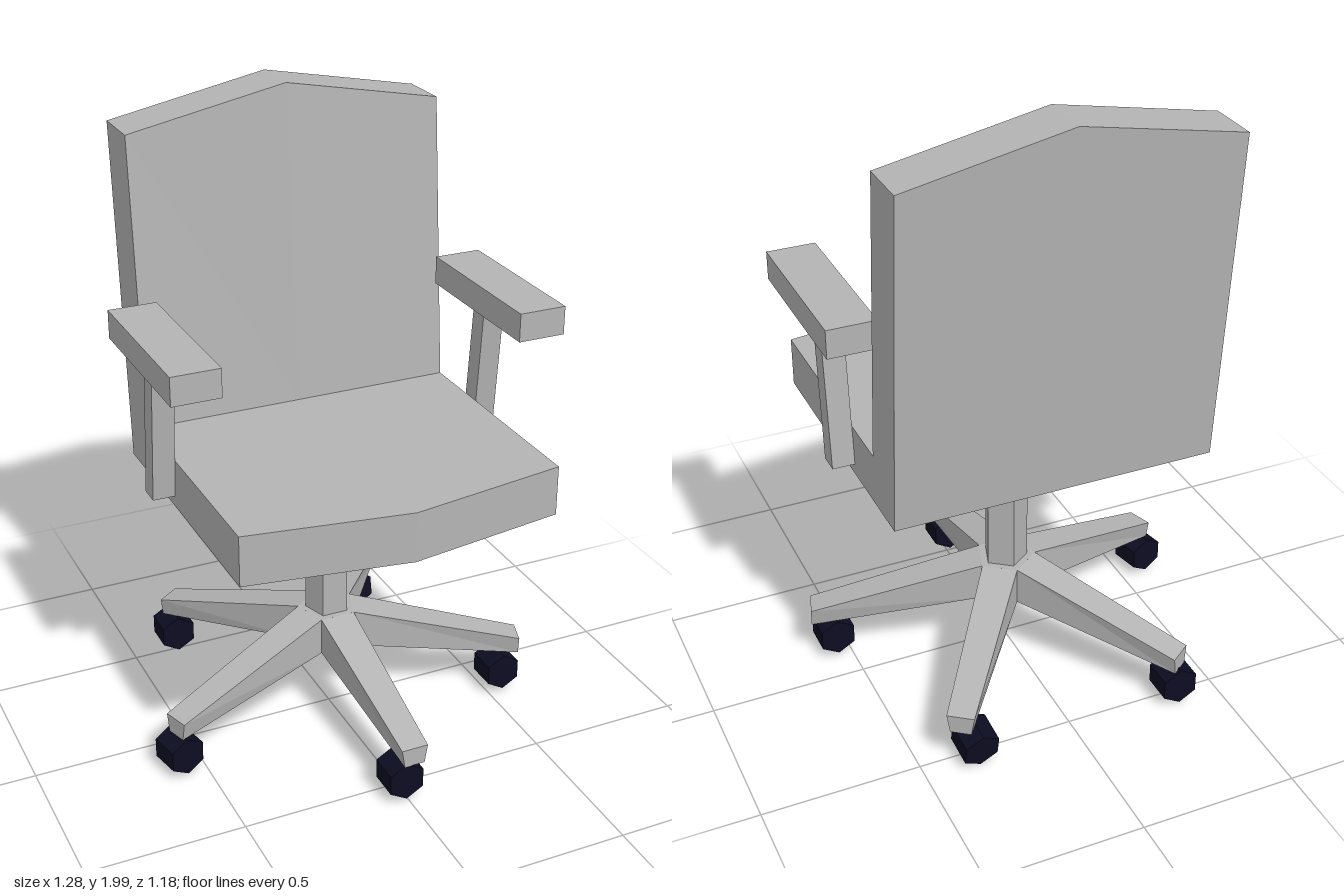
import * as THREE from 'three';

const shellGrey = new THREE.MeshStandardMaterial({ color: 0xb4b4b4 });
shellGrey.name = 'shellGrey';
const casterNavy = new THREE.MeshStandardMaterial({ color: 0x0d0d22 });
casterNavy.name = 'casterNavy';

const CX = 0.015; // middle of the chair in x
const QUAD = [[0, 1, 2], [0, 2, 3]];

// Flat-shaded solid through rings of [x, y, z] points, closed at both ends
function loft(rings, cap = QUAD) {
  const n = rings[0].length;
  const index = [];
  for (let r = 0; r < rings.length - 1; r++) {
    for (let i = 0; i < n; i++) {
      const a = r * n + i, b = r * n + (i + 1) % n;
      index.push(a, b, b + n, a, b + n, a + n);
    }
  }
  const last = (rings.length - 1) * n;
  for (const [a, b, c] of cap) index.push(a, c, b, last + a, last + b, last + c);
  const geo = new THREE.BufferGeometry();
  geo.setAttribute('position', new THREE.Float32BufferAttribute(rings.flat(2), 3));
  geo.setIndex(index);
  const flat = geo.toNonIndexed();
  flat.computeVertexNormals();
  return flat;
}

function add(parent, name, geo, material = shellGrey) {
  const mesh = new THREE.Mesh(geo, material);
  mesh.name = name;
  parent.add(mesh);
  return mesh;
}

// Flat-sided prism along y
function prism(radius, y0, y1, sides) {
  const geo = new THREE.CylinderGeometry(radius, radius, y1 - y0, sides).toNonIndexed();
  geo.translate(0, (y0 + y1) / 2, 0);
  geo.computeVertexNormals();
  return geo;
}

// L-shaped section of seat and backrest at one x
const seatSection = (x, top, front) => [
  [x, top, -0.51], [x, top, -0.34], [x, 0.99, -0.262],
  [x, 0.99, front], [x, 0.83, front], [x, 0.83, -0.42],
];

export function createModel() {
  const chair = new THREE.Group();
  chair.name = 'officeChair';

  // Seat and backrest, peaked in the middle
  add(chair, 'seatAndBackrest', loft([
    seatSection(CX - 0.51, 1.9, 0.49),
    seatSection(CX, 2.0, 0.57),
    seatSection(CX + 0.51, 1.9, 0.49),
  ], [[0, 1, 2], [0, 2, 5], [2, 3, 4], [2, 4, 5]]));

  // Armrests with slanted posts
  for (const side of [-1, 1]) {
    const arm = new THREE.Group();
    arm.name = side > 0 ? 'leftArmrest' : 'rightArmrest';
    chair.add(arm);
    const pad = add(arm, 'armPad', new THREE.BoxGeometry(0.152, 0.09, 0.535));
    pad.position.set(CX + side * 0.547, 1.365, 0.0275);
    const x0 = CX + side * 0.545 - 0.035, x1 = x0 + 0.07;
    const ring = (y, front, back) =>
      [[x0, y, front], [x1, y, front], [x1, y, back], [x0, y, back]];
    add(arm, 'armPost', loft([ring(0.865, -0.03, -0.097), ring(1.325, 0.013, -0.052)]));
  }

  // Five-legged base with its column
  const base = new THREE.Group();
  base.name = 'base';
  base.position.set(0.0135, 0, -0.038);
  chair.add(base);
  add(base, 'column', prism(0.072, 0.3, 0.835, 5)).rotation.y = Math.PI;
  add(base, 'hub', prism(0.097, 0.225, 0.35, 5)).rotation.y = Math.PI;
  const legRing = (z, lowHalf, highHalf, low, high) =>
    [[-lowHalf, low, z], [lowHalf, low, z], [highHalf, high, z], [-highHalf, high, z]];
  const legGeo = loft([
    legRing(0.0785, 0.057, 0.057, 0.225, 0.35),
    legRing(0.633, 0.033, 0.043, 0.14, 0.2),
  ]);
  for (let i = 0; i < 5; i++) add(base, 'leg', legGeo).rotation.y = i * Math.PI * 0.4;

  // Six-sided casters: x, y, z, pitch, yaw
  const casterGeo = prism(0.063, -0.05, 0.05, 6);
  casterGeo.rotateX(Math.PI / 2);
  const casters = [
    [-0.01, 0.083, 0.543, 0, 0],
    [-0.577, 0.08, 0.148, 0, 0.21],
    [0.547, 0.083, 0.148, 0, 0],
    [-0.353, 0.083, -0.52, 0, 0],
    [0.33, 0.08, -0.527, -0.2, 0.05],
  ];
  for (const [x, y, z, pitch, yaw] of casters) {
    const caster = add(chair, 'caster', casterGeo, casterNavy);
    caster.position.set(x, y, z);
    caster.rotation.set(pitch, yaw, 0);
  }
  return chair;
}
